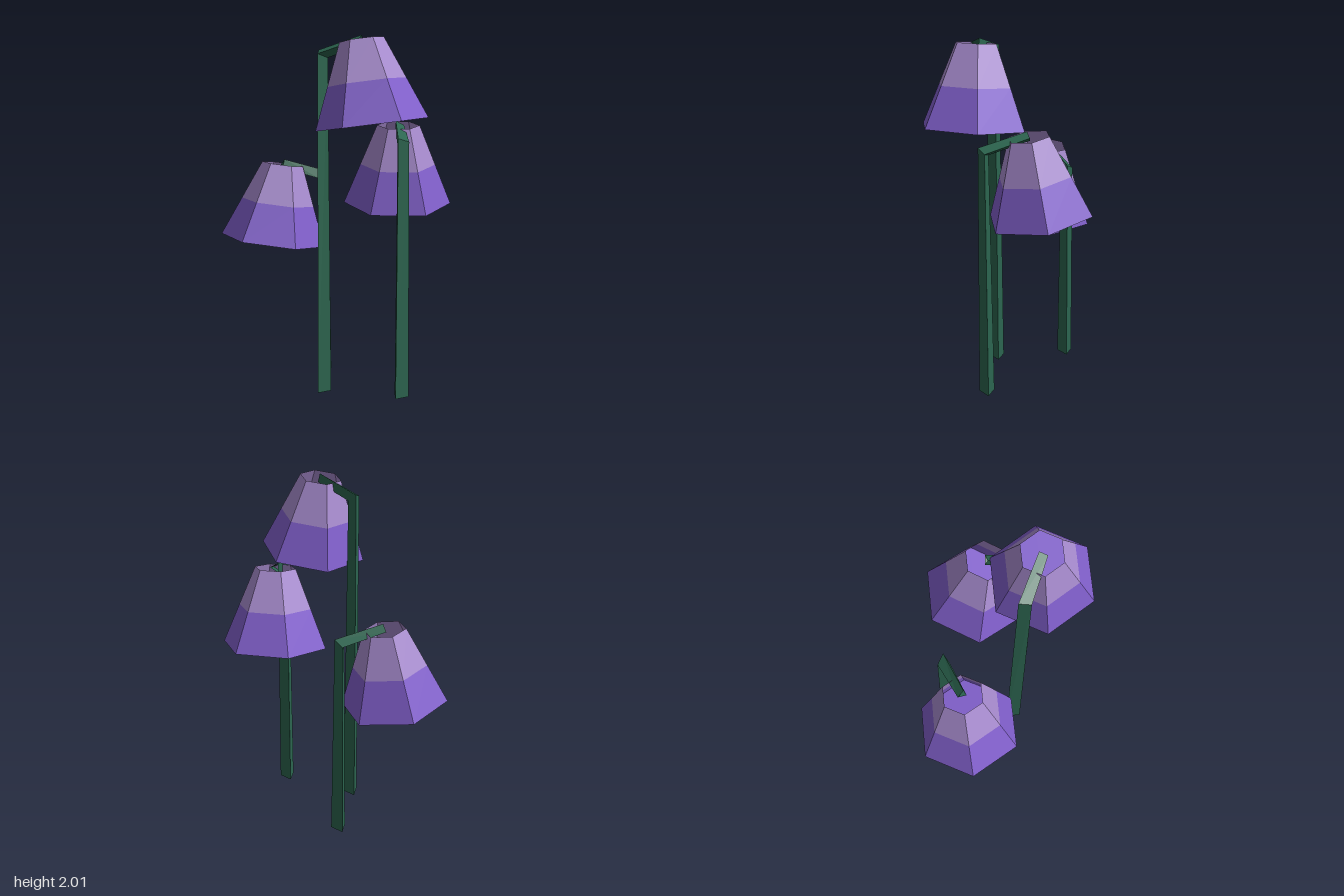
import * as THREE from 'three';

const UP = new THREE.Vector3(0, 1, 0);
const DEG = Math.PI / 180;

function material(name, color) {
  const m = new THREE.MeshStandardMaterial({ color, flatShading: true, side: THREE.DoubleSide });
  m.name = name;
  return m;
}

// Three-sided tapering stem that bends once into a short arm
function stemGeometry(base, joint, tip) {
  const armDir = tip.clone().sub(joint).normalize();
  const stops = [
    { at: base, dir: UP, r: 0.05 },
    { at: joint, dir: armDir.clone().add(UP).normalize(), r: 0.041 },
    { at: tip, dir: armDir, r: 0.031 },
  ];
  const rings = stops.map(({ at, dir, r }) => {
    const turn = new THREE.Quaternion().setFromUnitVectors(UP, dir);
    return [-47, 73, 193].map((a) =>
      new THREE.Vector3(Math.cos(a * DEG) * r, 0, Math.sin(a * DEG) * r).applyQuaternion(turn).add(at));
  });
  const points = [];
  for (let i = 0; i < 2; i++) {
    for (let k = 0; k < 3; k++) {
      const n = (k + 1) % 3;
      const [a, b, c, d] = [rings[i][k], rings[i][n], rings[i + 1][k], rings[i + 1][n]];
      points.push(a, c, b, b, c, d);
    }
  }
  const g = new THREE.BufferGeometry().setFromPoints(points);
  g.computeVertexNormals();
  return g;
}

// Six-sided bell, open at the top and closed below, hanging from its origin
function makeBell(upperMat, lowerMat) {
  const bell = new THREE.Group();
  bell.name = 'bell';
  const height = 0.455, half = height / 2;
  const [rTop, rMid, rBottom] = [0.12, 0.213, 0.306];
  const add = (name, geometry, mat, y) => {
    const mesh = new THREE.Mesh(geometry, mat);
    mesh.name = name;
    mesh.position.y = y;
    bell.add(mesh);
  };
  const band = (r1, r2) => new THREE.CylinderGeometry(r1, r2, half, 6, 1, true, 15 * DEG);
  add('upperPetals', band(rTop, rMid), upperMat, -half / 2);
  add('lowerPetals', band(rMid, rBottom), lowerMat, -half * 1.5);
  add('bellUnderside', new THREE.CircleGeometry(rBottom, 6, 15 * DEG).rotateX(Math.PI / 2), lowerMat, -height);
  return bell;
}

export function createModel() {
  const model = new THREE.Group();
  model.name = 'bellFlowers';
  const green = material('stemGreen', 0x2c6650);
  const pale = material('palePurple', 0xa98dd1);
  const purple = material('deepPurple', 0x8260cd);

  // Stem foot (x, z) and bell top (x, y, z)
  const flowers = [
    { name: 'tallFlower', foot: [0.07, 0.227], top: [0.305, 1.983, 0.151] },
    { name: 'middleFlower', foot: [0.45, -0.013], top: [0.269, 1.51, -0.178] },
    { name: 'shortFlower', foot: [-0.24, -0.063], top: [-0.342, 1.268, 0.162] },
  ];

  for (const { name, foot, top } of flowers) {
    const flower = new THREE.Group();
    flower.name = name;
    const tip = new THREE.Vector3(...top);
    const base = new THREE.Vector3(foot[0], 0, foot[1]);
    const joint = new THREE.Vector3(foot[0], top[1] - 0.075, foot[1]);

    const stem = new THREE.Mesh(stemGeometry(base, joint, tip), green);
    stem.name = 'stem';

    // The bell swings outwards, away from its stem
    const out = new THREE.Vector3(tip.x - base.x, 0, tip.z - base.z).normalize();
    const axis = out.multiplyScalar(-Math.sin(8 * DEG)).addScaledVector(UP, Math.cos(8 * DEG));
    const bell = makeBell(pale, purple);
    bell.position.copy(tip);
    bell.quaternion.setFromUnitVectors(UP, axis);

    flower.add(stem, bell);
    model.add(flower);
  }
  return model;
}
